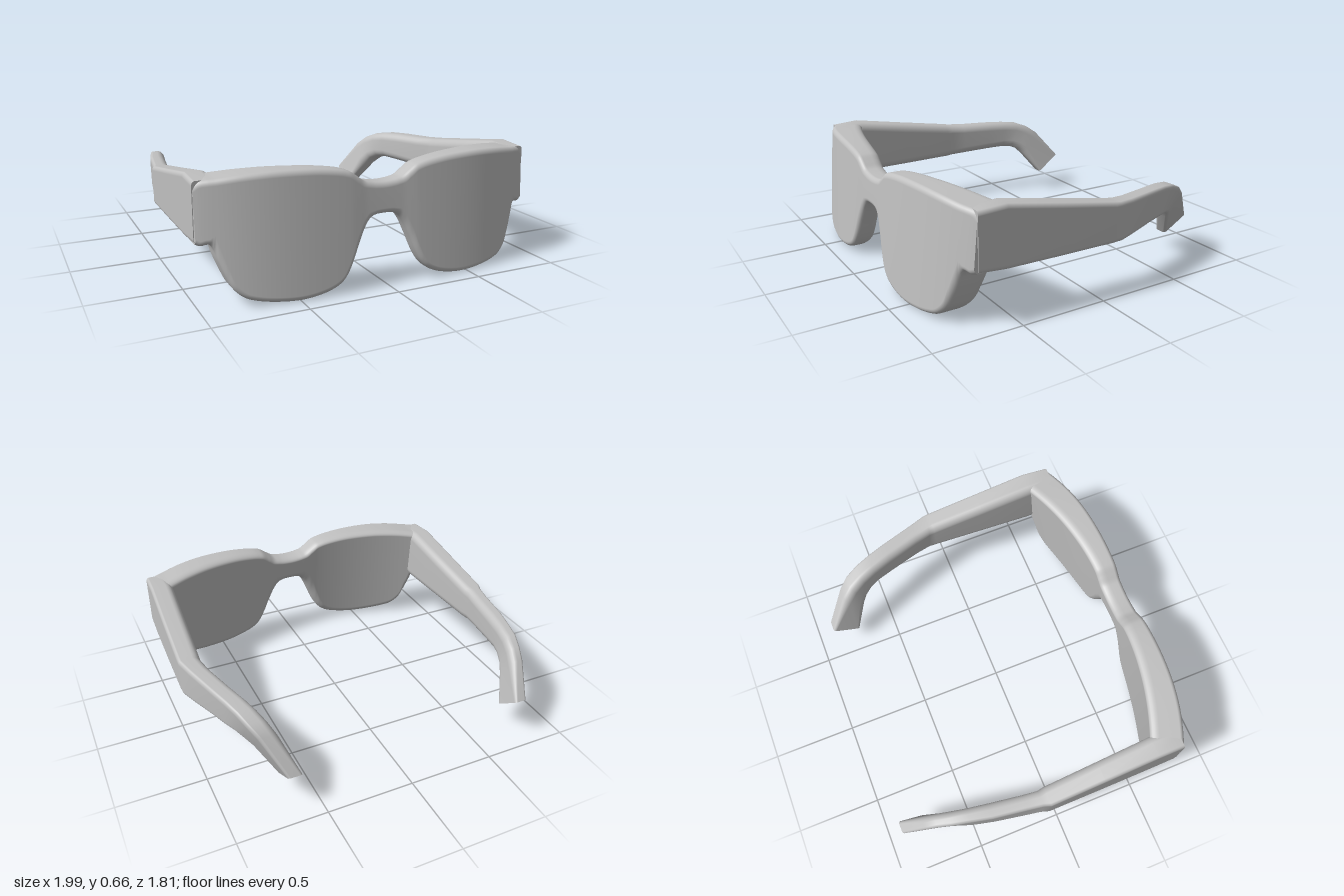
import * as THREE from 'three';

const grey = new THREE.MeshStandardMaterial({ color: 0xc0c0c0 });
grey.name = 'plain grey';

// Rounded rectangle, clockwise from the (a0, b1) corner; radii = [ra, rb] for each corner
function ring(a0, a1, b0, b1, radii) {
  const corners = [[a0, b1, 1, -1], [a1, b1, -1, -1], [a1, b0, -1, 1], [a0, b0, 1, 1]];
  const pts = [];
  const steps = 6;
  corners.forEach(([a, b, sa, sb], k) => {
    const ra = Math.min(radii[k][0], (a1 - a0) * 0.48);
    const rb = Math.min(radii[k][1], (b1 - b0) * 0.48);
    for (let i = 0; i <= steps; i++) {
      const t = Math.PI - k * Math.PI / 2 - (i / steps) * Math.PI / 2;
      pts.push([a + sa * ra + ra * Math.cos(t), b + sb * rb + rb * Math.sin(t)]);
    }
  });
  return pts;
}

// Skin over equal-length rings of [x, y, z], with flat end caps
function loft(rings) {
  const n = rings[0].length;
  const pos = rings.flat(2);
  const index = [];
  for (let i = 0; i < rings.length - 1; i++) {
    for (let j = 0; j < n; j++) {
      const a = i * n + j, b = i * n + (j + 1) % n;
      index.push(a, b, a + n, b, b + n, a + n);
    }
  }
  [rings[0], rings[rings.length - 1]].forEach((r, end) => {
    const base = pos.length / 3;
    pos.push(...r.flat());
    for (let j = 1; j < n - 1; j++) {
      if (end) index.push(base, base + j, base + j + 1);
      else index.push(base, base + j + 1, base + j);
    }
  });
  const g = new THREE.BufferGeometry();
  g.setAttribute('position', new THREE.Float32BufferAttribute(pos, 3));
  g.setIndex(index);
  g.computeVertexNormals();
  return g;
}

// Front: one solid body, with top and bottom outline swept across the width
function frontGeometry() {
  // distance from the middle, top, bottom
  const half = [
    [0.05, 0.558, 0.387], [0.08, 0.563, 0.374], [0.11, 0.571, 0.335], [0.15, 0.598, 0.25],
    [0.19, 0.625, 0.155], [0.22, 0.635, 0.1], [0.25, 0.642, 0.065], [0.3, 0.65, 0.037],
    [0.38, 0.659, 0.015], [0.48, 0.664, 0.004], [0.6, 0.665, 0.01], [0.7, 0.66, 0.026],
    [0.76, 0.655, 0.046], [0.81, 0.649, 0.09], [0.84, 0.645, 0.15], [0.87, 0.641, 0.23],
    [0.89, 0.639, 0.295], [0.91, 0.637, 0.32], [0.95, 0.63, 0.313], [0.974, 0.615, 0.32],
  ];
  const outline = [
    ...half.map(([u, t, b]) => [-u, t, b]).reverse(), [0, 0.555, 0.39], ...half,
  ].map(p => new THREE.Vector3(...p));
  const curve = new THREE.CatmullRomCurve3(outline);
  const count = (outline.length - 1) * 5;
  const rings = [];
  for (let i = 0; i <= count; i++) {
    const p = curve.getPoint(i / count);
    const d = curve.getTangent(i / count);
    const u = Math.abs(p.x);
    const zf = 0.86 - 0.13 * Math.pow(u / 0.97, 3.5);
    const zb = 0.73 - 0.16 * Math.pow(u / 0.86, 2.2);
    // edges keep an even bevel where the outline is steep
    const st = Math.hypot(1, d.y / d.x), sb = Math.min(3, Math.hypot(1, d.z / d.x));
    const r = ring(zb, zf, p.z, p.y, [
      [0.055, 0.03 * st], [0.025, 0.03 * st], [0.03, 0.03 * sb], [0.07, 0.05 * sb],
    ]);
    // the face leans forward towards the bottom
    rings.push(r.map(([z, y]) => [p.x - 0.015, y, z + 0.085 * (p.y - y)]));
  }
  return loft(rings);
}

// Temple arm; stations are [xMin, xMax, top z, top y, bottom z, bottom y] from front to back
function templeGeometry(stations, side) {
  const rings = stations.map(([x0, x1, zt, yt, zb, yb], i) => {
    const h = Math.hypot(zt - zb, yt - yb);
    const outer = [0.018, 0.025], inner = [0.045, 0.05];
    const last = i === stations.length - 1;
    const lo = side < 0 ? outer : inner, hi = side < 0 ? inner : outer;
    const radii = last ? Array(4).fill([0.015, 0.015]) : [lo, hi, hi, lo];
    return ring(x0, x1, 0, h, radii).map(([x, s]) => {
      const t = s / h;
      return [x, yb + (yt - yb) * t, zb + (zt - zb) * t];
    });
  });
  return loft(rings);
}

const leftStations = [
  [0.835, 0.965, 0.73, 0.635, 0.73, 0.32],
  [0.835, 0.972, 0.57, 0.645, 0.57, 0.31],
  [0.85, 0.984, 0.25, 0.59, 0.25, 0.311],
  [0.865, 0.994, -0.07, 0.537, -0.07, 0.313],
  [0.866, 0.993, -0.1, 0.532, -0.12, 0.315],
  [0.845, 0.965, -0.2, 0.523, -0.21, 0.32],
  [0.79, 0.908, -0.4, 0.516, -0.38, 0.332],
  [0.75, 0.87, -0.52, 0.508, -0.5, 0.338],
  [0.72, 0.84, -0.61, 0.492, -0.56, 0.333],
  [0.69, 0.81, -0.69, 0.458, -0.605, 0.312],
  [0.66, 0.77, -0.755, 0.405, -0.64, 0.27],
  [0.59, 0.67, -0.89, 0.21, -0.73, 0.12],
];

const rightStations = [
  [-0.993, -0.86, 0.73, 0.635, 0.73, 0.32],
  [-0.995, -0.86, 0.57, 0.645, 0.57, 0.31],
  [-0.998, -0.87, 0.25, 0.59, 0.25, 0.311],
  [-1, -0.88, -0.07, 0.537, -0.07, 0.313],
  [-0.985, -0.887, -0.11, 0.532, -0.12, 0.315],
  [-0.97, -0.875, -0.2, 0.525, -0.21, 0.32],
  [-0.94, -0.845, -0.4, 0.52, -0.38, 0.332],
  [-0.912, -0.825, -0.52, 0.515, -0.5, 0.338],
  [-0.89, -0.805, -0.62, 0.503, -0.56, 0.335],
  [-0.865, -0.785, -0.7, 0.472, -0.61, 0.315],
  [-0.845, -0.765, -0.765, 0.425, -0.65, 0.275],
  [-0.79, -0.715, -0.905, 0.25, -0.755, 0.14],
];

export function createModel() {
  const group = new THREE.Group();
  group.name = 'glasses';
  const add = (name, geometry) => {
    const mesh = new THREE.Mesh(geometry, grey);
    mesh.name = name;
    group.add(mesh);
  };
  add('frontFrameWithLenses', frontGeometry());
  add('leftTemple', templeGeometry(leftStations, 1));
  add('rightTemple', templeGeometry(rightStations, -1));
  return group;
}
